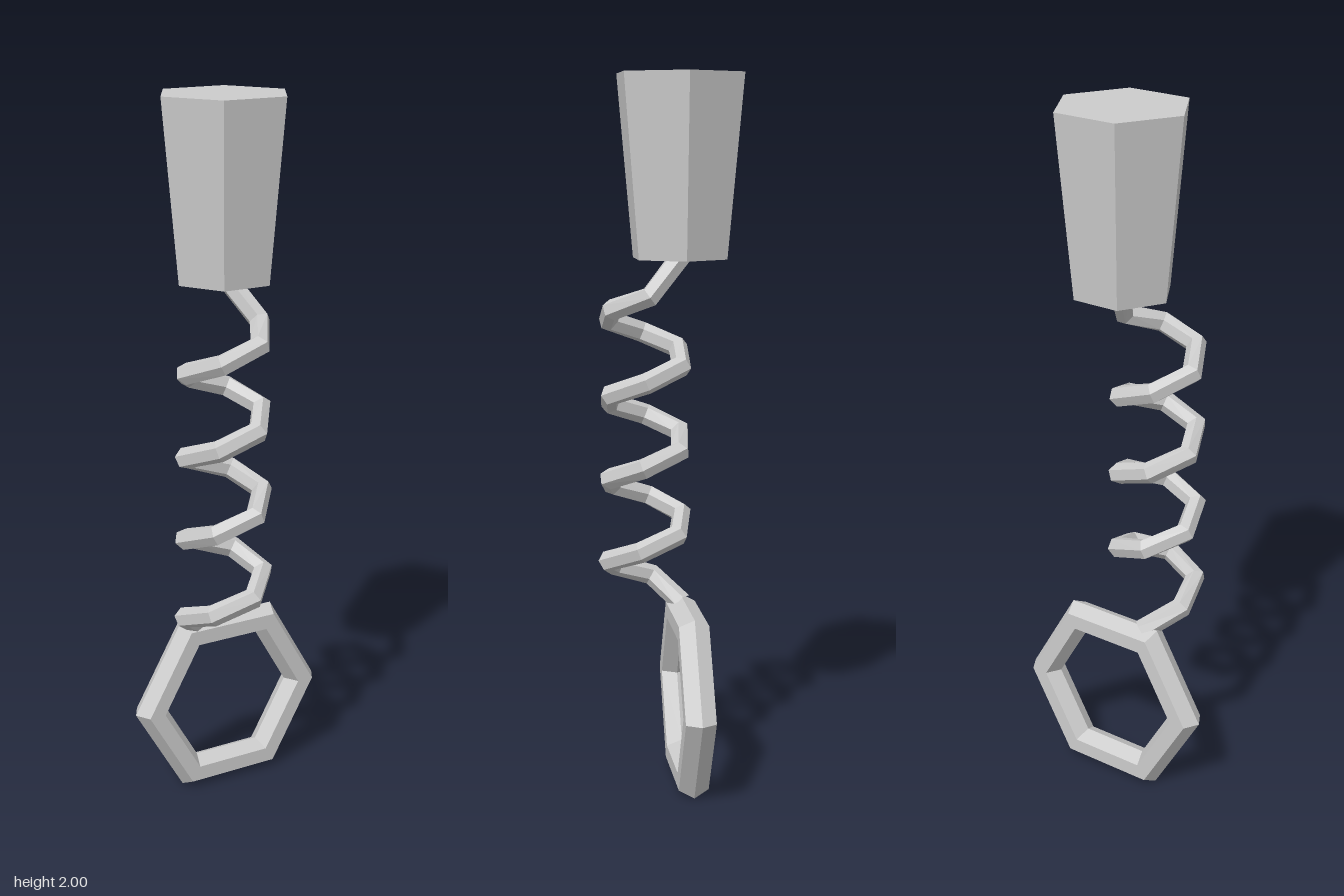
import * as THREE from 'three';

const material = new THREE.MeshStandardMaterial({ color: 0xcccccc, flatShading: true });

function addPart(group, name, geometry, x = 0, y = 0, z = 0) {
  const mesh = new THREE.Mesh(geometry, material);
  mesh.name = name;
  mesh.position.set(x, y, z);
  group.add(mesh);
  return mesh;
}

// Low-poly helix winding downwards from the handle into the ring
function coilGeometry() {
  const steps = 22, radius = 0.113, pitch = 0.235;
  const sweep = THREE.MathUtils.degToRad(1337);
  const points = [new THREE.Vector3(-0.02, 1.53, -0.06)];
  for (let i = 0; i <= steps; i++) {
    const a = (i / steps) * sweep;
    points.push(new THREE.Vector3(
      -0.07 + radius * Math.cos(a),
      1.4 - (pitch * a) / (2 * Math.PI),
      0.053 + radius * Math.sin(a)
    ));
  }
  // End sunk into the top bar of the ring
  points[points.length - 1].y = 0.5;
  const path = new THREE.CatmullRomCurve3(points);
  // Sample exactly at the control points so each step is one straight facet
  path.getPointAt = (u, target) => path.getPoint(u, target);
  path.getTangentAt = (u, target) => path.getTangent(u, target);
  return new THREE.TubeGeometry(path, points.length - 1, 0.03, 6, false);
}

export function createModel() {
  const group = new THREE.Group();
  group.name = 'springPull';

  // Tapered six-sided handle, corners on the x axis
  const handle = new THREE.CylinderGeometry(0.188, 0.14, 0.5, 6);
  handle.rotateY(Math.PI / 2);
  addPart(group, 'handle', handle, -0.015, 1.75, -0.037);

  // Coiled spring
  addPart(group, 'spring', coilGeometry());

  // Six-sided ring with a six-sided bar
  addPart(group, 'ring', new THREE.TorusGeometry(0.249, 0.049, 6, 6), 0, 0.258, -0.057);

  return group;
}
